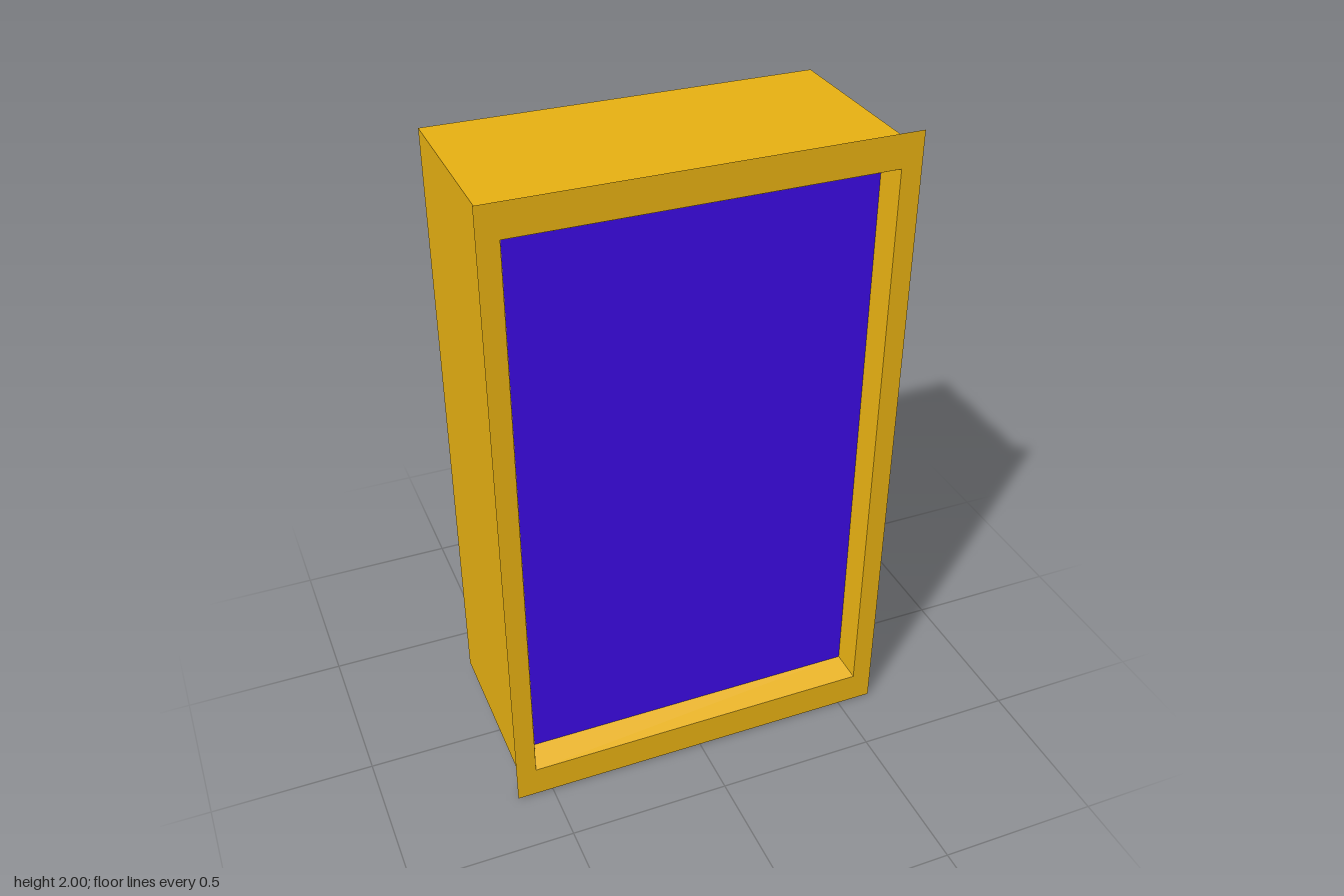
import * as THREE from 'three';

const MID = 1; // height of the centre line

// Corners of a rectangle, counter-clockwise seen from the front
const rect = (w, h, z) => [
  [-w, MID - h, z], [w, MID - h, z], [w, MID + h, z], [-w, MID + h, z],
];

// Flat-faced skin over a series of rectangular sections [halfWidth, halfHeight, z]
function loftRects(sections) {
  const rings = sections.map((s) => rect(...s));
  const pos = [];
  for (let i = 0; i + 1 < rings.length; i++) {
    const a = rings[i], b = rings[i + 1];
    for (let k = 0; k < 4; k++) {
      const n = (k + 1) % 4;
      pos.push(...a[k], ...a[n], ...b[n], ...a[k], ...b[n], ...b[k]);
    }
  }
  const geo = new THREE.BufferGeometry();
  geo.setAttribute('position', new THREE.Float32BufferAttribute(pos, 3));
  geo.computeVertexNormals();
  return geo;
}

export function createModel() {
  const group = new THREE.Group();
  const gold = new THREE.MeshStandardMaterial({ color: 0xe6b012, flatShading: true });
  const blue = new THREE.MeshStandardMaterial({ color: 0x3c0ae4, flatShading: true });

  const add = (name, geo, mat) => {
    const mesh = new THREE.Mesh(geo, mat);
    mesh.name = name;
    group.add(mesh);
    return mesh;
  };

  const back = [0.588, 0.96, -0.305];
  const neck = [0.588, 0.96, 0.235];
  const lip = [0.612, 1, 0.305];
  const opening = [0.55, 0.9, 0.305];
  const recess = [0.53, 0.864, 0.235];

  // Box-shaped casing: closed back and four straight sides
  add('casing', loftRects([[0, 0, back[2]], back, neck]), gold);

  // Flared frame: sloped outside, flat face, sloped inside of the recess
  add('frame', loftRects([neck, lip, opening, recess]), gold);

  // Panel at the bottom of the recess
  const panel = add('panel', new THREE.PlaneGeometry(recess[0] * 2, recess[1] * 2), blue);
  panel.position.set(0, MID, recess[2]);

  return group;
}
